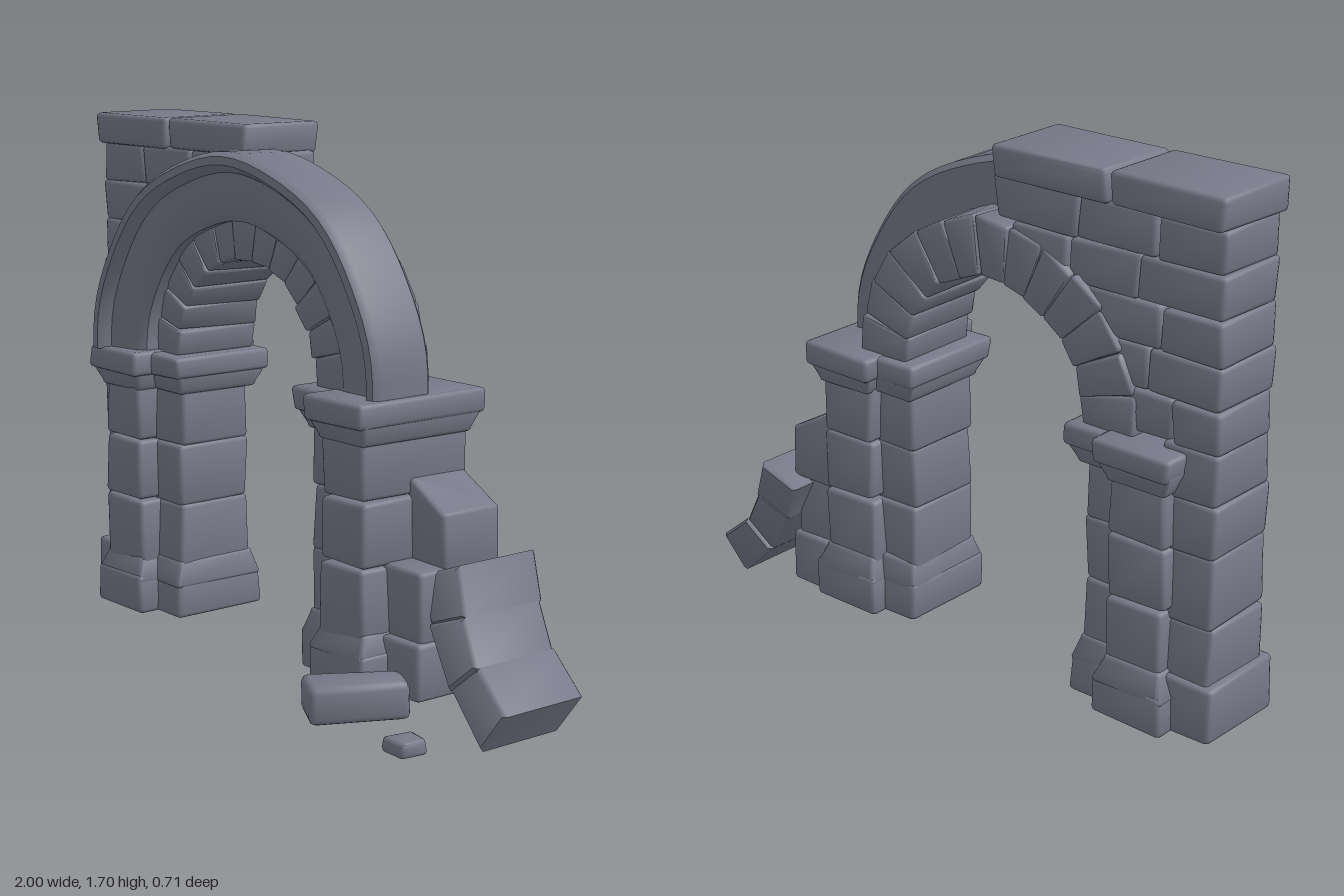
import * as THREE from 'three';
import { toCreasedNormals } from 'three/addons/utils/BufferGeometryUtils.js';
import { RoundedBoxGeometry } from 'three/addons/geometries/RoundedBoxGeometry.js';

const CX = -0.17, CY = 0.94; // centre of the arch

export function createModel() {
  const model = new THREE.Group();
  model.name = 'ruinedStoneArch';
  const stone = new THREE.MeshStandardMaterial({ color: 0x787a8a });
  stone.name = 'greyStone';

  let seed = 7;
  const rand = () => (seed = (seed * 16807) % 2147483647) / 2147483647;

  function add(geo, name, parent, crease = 0.9) {
    const mesh = new THREE.Mesh(toCreasedNormals(geo, crease), stone);
    mesh.name = name;
    parent.add(mesh);
    return mesh;
  }

  function part(name) {
    const g = new THREE.Group();
    g.name = name;
    model.add(g);
    return g;
  }

  // Worn block: rounded box whose eight corners are pushed about a little
  function wornBox(w, h, d, rough = 0.012, radius = 0.014) {
    const geo = new RoundedBoxGeometry(w, h, d, 1, radius);
    const offs = Array.from({ length: 24 }, () => (rand() * 1.2 - 1) * rough);
    const p = geo.attributes.position;
    for (let i = 0; i < p.count; i++) {
      const s = [p.getX(i), p.getY(i), p.getZ(i)].map((v) => (v > 0 ? 1 : -1));
      const k = ((s[0] > 0 ? 4 : 0) + (s[1] > 0 ? 2 : 0) + (s[2] > 0 ? 1 : 0)) * 3;
      p.setXYZ(i, p.getX(i) + s[0] * offs[k], p.getY(i) + s[1] * offs[k + 1] * 0.5,
        p.getZ(i) + s[2] * offs[k + 2]);
    }
    return geo;
  }

  // Block between two corners; inset draws in the top (>0) or the bottom (<0)
  function block(parent, name, x0, x1, y0, y1, z0, z1, inset = 0, rough = 0.012) {
    const w = Math.abs(x1 - x0), h = y1 - y0, d = z1 - z0;
    const geo = wornBox(w, h, d, rough);
    if (inset) {
      const p = geo.attributes.position;
      for (let i = 0; i < p.count; i++) {
        if (p.getY(i) * inset <= 0) continue;
        p.setX(i, p.getX(i) * (1 - (2 * Math.abs(inset)) / w));
        p.setZ(i, p.getZ(i) * (1 - (2 * Math.abs(inset)) / d));
      }
    }
    geo.translate((x0 + x1) / 2, (y0 + y1) / 2, (z0 + z1) / 2);
    return add(geo, name, parent);
  }

  // Two cross-shaped piers with base and capital, mirrored about the arch centre
  for (const s of [-1, 1]) {
    const g = part(s < 0 ? 'rightPier' : 'leftPier');
    const X = (v) => CX + s * v;
    const courses = [0.2, 0.45, 0.65, 0.86];
    for (let i = 0; i < 3; i++) {
      block(g, 'pilasterStone', X(0.465), X(0.67), courses[i], courses[i + 1], -0.285, 0.13);
      block(g, 'innerPierStone', X(0.335), X(0.52), courses[i] - 0.01, courses[i + 1], -0.23, 0.055);
    }
    // base plinths with sloping tops
    block(g, 'pilasterBase', X(0.44), X(0.695), 0.07, 0.2, -0.315, 0.15, 0, 0.006);
    block(g, 'pilasterBaseSlope', X(0.44), X(0.695), 0.17, 0.26, -0.315, 0.15, 0.025, 0.004);
    block(g, 'innerBase', X(0.315), X(0.52), 0.07, 0.2, -0.26, 0.08, 0, 0.006);
    block(g, 'innerBaseSlope', X(0.315), X(0.52), 0.17, 0.26, -0.26, 0.08, 0.02, 0.004);
    // flared capitals
    block(g, 'pilasterCapital', X(0.435), X(0.705), 0.87, 0.95, -0.33, 0.17, 0, 0.008);
    block(g, 'pilasterCapitalFlare', X(0.44), X(0.7), 0.815, 0.9, -0.32, 0.16, -0.025, 0.004);
    block(g, 'innerCapital', X(0.295), X(0.53), 0.87, 0.945, -0.28, 0.1, 0, 0.008);
    block(g, 'innerCapitalFlare', X(0.3), X(0.53), 0.815, 0.9, -0.275, 0.09, -0.025, 0.004);
  }

  // Inner arch: ring of separate wedge stones bent round the centre
  const innerArch = part('innerArch');
  const N = 13, r0 = 0.345, r1 = 0.535, rm = (r0 + r1) / 2;
  for (let i = 0; i < N; i++) {
    const step = Math.PI / N, mid = (i + 0.5) * step;
    const geo = wornBox(r1 - r0, step * rm + 0.006, 0.31, 0.012, 0.01);
    const p = geo.attributes.position;
    for (let j = 0; j < p.count; j++) {
      const r = rm + p.getX(j), a = mid + p.getY(j) / rm;
      p.setXYZ(j, CX + r * Math.cos(a), CY + r * Math.sin(a), p.getZ(j) - 0.1);
    }
    add(geo, 'wedgeStone', innerArch);
  }

  // Outer arch: moulded ring with a raised rim, slightly skewed in plan
  const profile = [
    [0.465, -0.09], [0.66, -0.09], [0.678, -0.07], [0.68, 0.11], [0.665, 0.13], [0.64, 0.132],
    [0.625, 0.115], [0.615, 0.095], [0.575, 0.09], [0.49, 0.085], [0.465, 0.065], [0.465, -0.09],
  ].map(([r, z]) => new THREE.Vector2(r, z));
  const ring = new THREE.LatheGeometry(profile, 36, Math.PI / 2, Math.PI);
  ring.rotateX(Math.PI / 2);
  const rp = ring.attributes.position;
  for (let i = 0; i < rp.count; i++) {
    const x = rp.getX(i), y = rp.getY(i), a = Math.atan2(y, x);
    const k = 1 + 0.006 * Math.sin(a * 9);
    rp.setXYZ(i, CX + x * k, CY + y * k, rp.getZ(i) - 0.06 * x);
  }
  add(ring, 'outerArchMoulding', part('outerArch'), 0.7);

  // Wall beside and above the arch, laid in courses up to the curve
  const wall = part('wall');
  block(wall, 'wallBase', -1, -0.82, 0.07, 0.25, -0.26, 0.055, 0, 0.006);
  const lower = [0.22, 0.42, 0.64, 0.8, 0.96];
  for (let i = 0; i < 4; i++) {
    block(wall, 'wallStone', -0.98, -0.78, lower[i], lower[i + 1] + 0.006, -0.24, 0.035);
  }
  const rows = 5, rowH = 0.65 / rows;
  for (let i = 0; i < rows; i++) {
    const y0 = 0.955 + i * rowH, dy = y0 - CY;
    const end = CX - Math.sqrt(Math.max(0, 0.41 * 0.41 - dy * dy));
    const n = Math.max(2, Math.round((end + 0.98) / 0.24));
    let x = -0.98;
    for (let j = 0; j < n; j++) {
      const even = -0.98 + ((end + 0.98) * (j + 1)) / n;
      const next = j === n - 1 ? end : even + (i % 2 ? 0.04 : -0.04);
      block(wall, 'wallStone', x, next + 0.006, y0, y0 + rowH + 0.006, -0.238, 0.03);
      x = next;
    }
  }

  // Coping slabs on top
  const coping = part('coping');
  block(coping, 'copingSlab', -0.985, -0.595, 1.6, 1.705, -0.26, 0.05, 0, 0.01);
  block(coping, 'copingSlab', -0.59, -0.175, 1.6, 1.705, -0.26, 0.045, 0, 0.01);

  // Broken wall stub stepping down on the other side
  const stub = part('brokenWall');
  block(stub, 'stubBase', 0.48, 0.665, 0.07, 0.25, -0.29, 0.05);
  block(stub, 'stubStone', 0.47, 0.645, 0.23, 0.46, -0.27, 0.03);
  const top = block(stub, 'stubTopStone', 0.47, 0.645, 0.44, 0.7, -0.29, -0.06);
  const tp = top.geometry.attributes.position;
  for (let i = 0; i < tp.count; i++) {
    if (tp.getX(i) > 0.58 && tp.getY(i) > 0.58) tp.setY(i, tp.getY(i) - 0.075);
  }
  top.geometry = toCreasedNormals(top.geometry, 0.9);

  // Fallen arch fragment leaning on the stub: three wedge stones
  const fragment = part('fallenArchFragment');
  const inner = [[0.58, 0.43], [0.645, 0.3], [0.765, 0.14], [0.92, 0.005]];
  const outer = [[0.72, 0.485], [0.78, 0.35], [0.86, 0.225], [0.995, 0.12]];
  for (let i = 0; i < 3; i++) {
    const shape = new THREE.Shape(
      [inner[i], inner[i + 1], outer[i + 1], outer[i]].map(([x, y]) => new THREE.Vector2(x, y)));
    const geo = new THREE.ExtrudeGeometry(shape, {
      depth: 0.29, bevelThickness: 0.012, bevelSize: 0.01, bevelOffset: -0.008, bevelSegments: 1,
    });
    const p = geo.attributes.position;
    for (let j = 0; j < p.count; j++) {
      p.setZ(j, p.getZ(j) - 0.255 - 0.18 * p.getY(j) + (i === 1 ? 0.008 : 0));
    }
    add(geo, 'fragmentStone', fragment);
  }

  // Loose rubble on the ground
  const rubble = part('rubble');
  const fallen = add(wornBox(0.165, 0.125, 0.3, 0.016, 0.02), 'fallenBlock', rubble);
  fallen.position.set(0.55, 0.1, 0.195);
  fallen.rotation.y = -0.487;
  const pebble = add(wornBox(0.1, 0.05, 0.1, 0.008, 0.012), 'smallStone', rubble);
  pebble.position.set(0.79, 0.025, 0.21);
  pebble.rotation.y = -0.1;

  return model;
}
